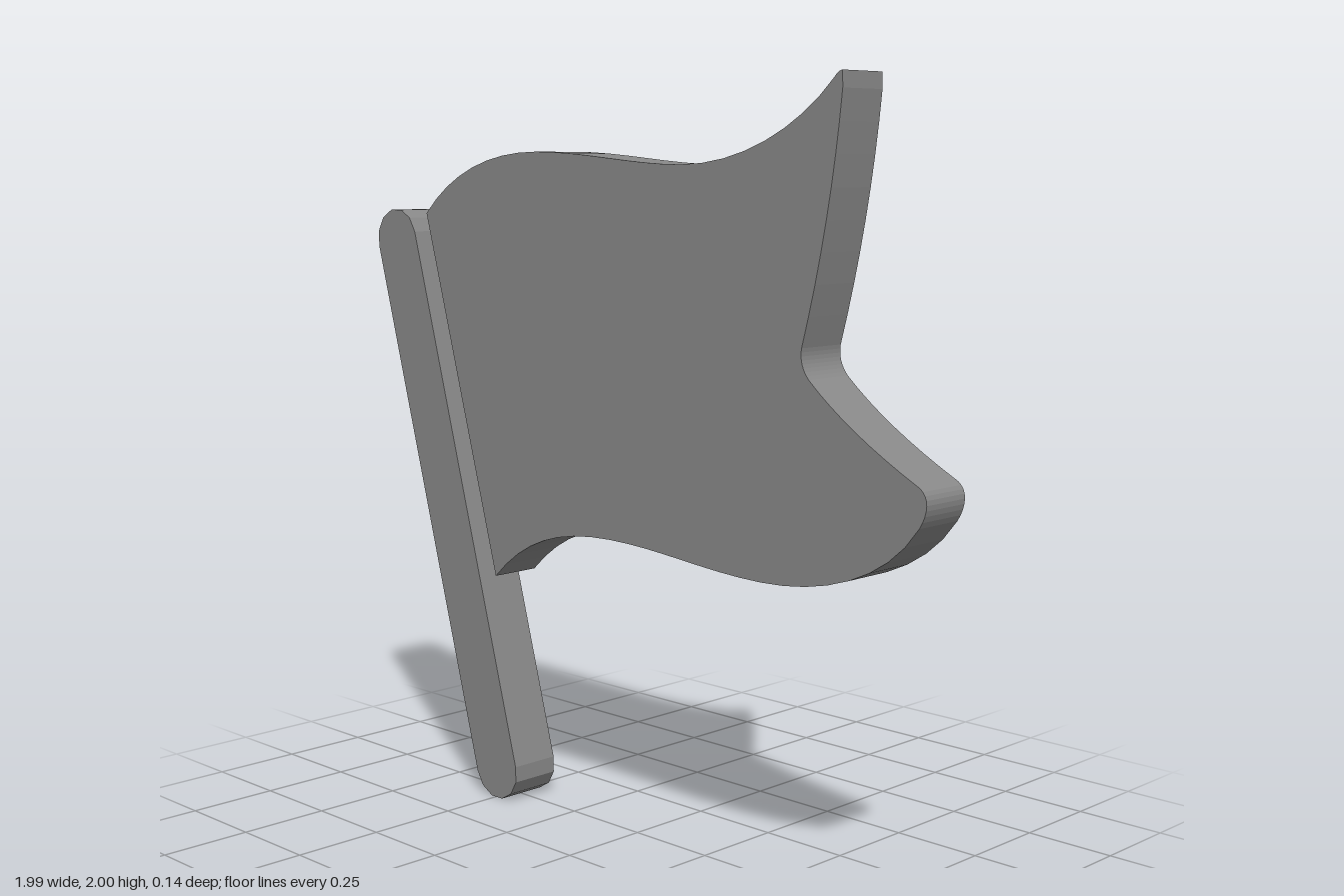
import * as THREE from 'three';

const DEPTH = 0.145;

// Flat slab of even thickness, centred on z = 0, with faceted rims
function slab(name, shape, curveSegments, material) {
  const geometry = new THREE.ExtrudeGeometry(shape, { depth: DEPTH, bevelEnabled: false, curveSegments });
  geometry.translate(0, 0, -DEPTH / 2);
  const mesh = new THREE.Mesh(geometry, material);
  mesh.name = name;
  return mesh;
}

// Rounded bar between two points
function barShape(bottom, top, r) {
  const a = Math.atan2(top.y - bottom.y, top.x - bottom.x);
  const shape = new THREE.Shape();
  shape.absarc(top.x, top.y, r, a - Math.PI / 2, a + Math.PI / 2, false);
  shape.absarc(bottom.x, bottom.y, r, a + Math.PI / 2, a + Math.PI * 1.5, false);
  shape.closePath();
  return shape;
}

// Waving cloth with a notched free end
function clothShape() {
  const s = new THREE.Shape();
  s.moveTo(-0.772, 1.65);
  // top edge
  s.bezierCurveTo(-0.66, 1.765, -0.5, 1.82, -0.31, 1.82);
  s.bezierCurveTo(-0.13, 1.82, 0.05, 1.787, 0.22, 1.787);
  s.bezierCurveTo(0.42, 1.787, 0.6, 1.87, 0.708, 1.985);
  // upper tip and notch
  s.quadraticCurveTo(0.72, 2.0, 0.731, 2.0);
  s.lineTo(0.732, 1.96);
  s.quadraticCurveTo(0.703, 1.66, 0.62, 1.36);
  s.quadraticCurveTo(0.613, 1.32, 0.643, 1.287);
  s.quadraticCurveTo(0.763, 1.175, 0.973, 1.068);
  // rounded lower tip
  s.bezierCurveTo(1.0, 1.05, 1.0, 1.015, 0.974, 0.975);
  // bottom edge
  s.bezierCurveTo(0.88, 0.835, 0.69, 0.779, 0.5, 0.779);
  s.bezierCurveTo(0.31, 0.779, 0.16, 0.812, -0.03, 0.812);
  s.bezierCurveTo(-0.23, 0.812, -0.37, 0.765, -0.49, 0.646);
  s.closePath();
  return s;
}

export function createModel() {
  const group = new THREE.Group();
  group.name = 'flag';
  const material = new THREE.MeshStandardMaterial({ color: 0x888888, flatShading: true });
  const bottom = new THREE.Vector2(-0.497, 0.083);
  const top = new THREE.Vector2(-0.91, 1.574);
  group.add(slab('pole', barShape(bottom, top, 0.086), 3, material));
  group.add(slab('cloth', clothShape(), 8, material));
  return group;
}
